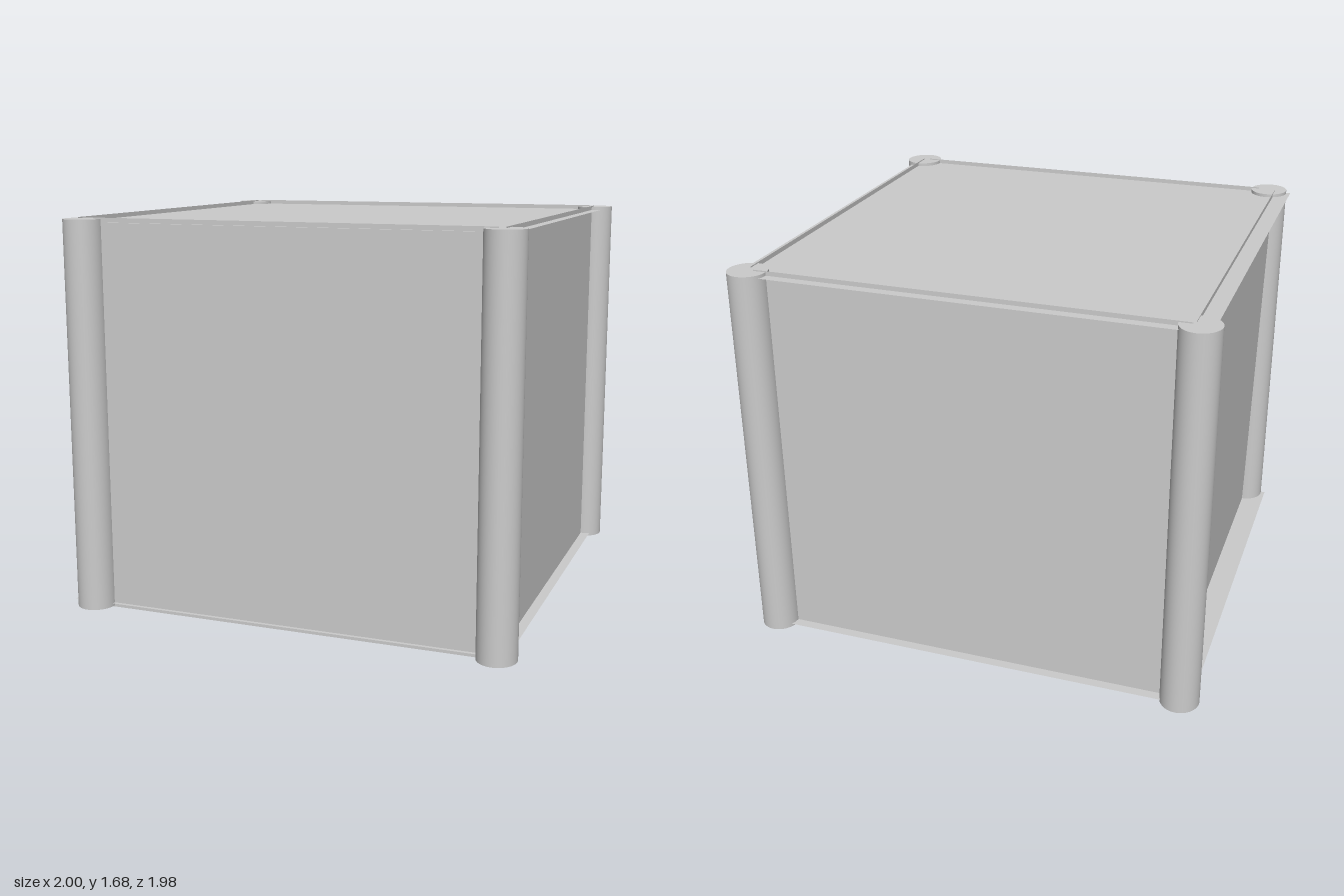
import * as THREE from 'three';

const HEIGHT = 1.676;

export function createModel() {
  const group = new THREE.Group();
  const solid = new THREE.MeshStandardMaterial({ color: 0xcccccc });
  const sheet = new THREE.MeshStandardMaterial({ color: 0xcccccc, side: THREE.DoubleSide });

  function add(name, geometry, material, x, y, z) {
    const mesh = new THREE.Mesh(geometry, material);
    mesh.name = name;
    mesh.position.set(x, y, z);
    group.add(mesh);
    return mesh;
  }

  // Corner posts, slightly oval; the front right one is set inward
  const post = new THREE.CylinderGeometry(0.0825, 0.0825, HEIGHT - 0.01, 48);
  post.scale(1, 1, 1.055);
  add('frontLeftPost', post, solid, 0.9175, HEIGHT / 2, 0.903);
  add('frontRightPost', post, solid, -0.867, HEIGHT / 2, 0.903);
  add('backLeftPost', post, solid, 0.9175, HEIGHT / 2, -0.906);
  add('backRightPost', post, solid, -0.9175, HEIGHT / 2, -0.906);

  // Thin floor and top sheets, just inside the post ends
  const slab = new THREE.PlaneGeometry(1.928, 1.867);
  slab.rotateX(-Math.PI / 2);
  add('topPanel', slab, sheet, -0.004, HEIGHT - 0.019, -0.016);
  add('floorPanel', slab, sheet, -0.004, 0.019, -0.016);

  // Thin walls running from post to post
  add('frontWall', new THREE.PlaneGeometry(1.71, HEIGHT), sheet, 0.035, HEIGHT / 2, 0.902);
  add('backWall', new THREE.PlaneGeometry(1.78, HEIGHT), sheet, 0, HEIGHT / 2, -0.908);
  const side = new THREE.PlaneGeometry(1.78, HEIGHT);
  side.rotateY(Math.PI / 2);
  add('leftWall', side, sheet, 0.918, HEIGHT / 2, 0.01);
  // The right wall leans out a little toward the top
  add('rightWall', side, sheet, -0.882, HEIGHT / 2, 0).rotation.z = 0.02;

  return group;
}
